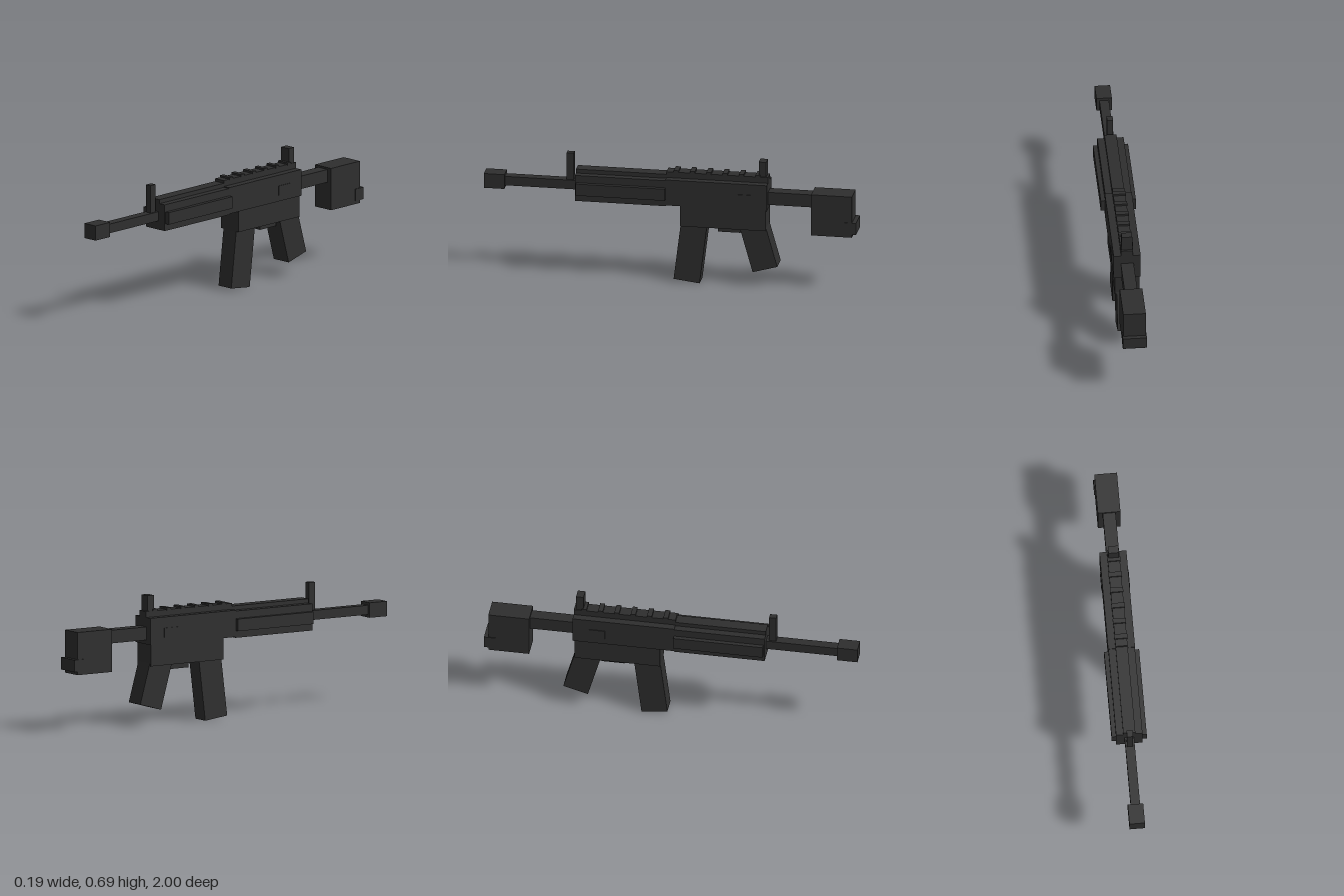
import * as THREE from 'three';

export function createModel() {
  const model = new THREE.Group();
  const charcoal = new THREE.MeshStandardMaterial({ color: 0x2e2e2e });
  charcoal.name = 'charcoal';

  // Box centred on x, given its half width and its y and z ranges
  function block(name, halfWidth, y0, y1, z0, z1) {
    const mesh = new THREE.Mesh(new THREE.BoxGeometry(halfWidth * 2, y1 - y0, z1 - z0), charcoal);
    mesh.position.set(0, (y0 + y1) / 2, (z0 + z1) / 2);
    mesh.name = name;
    model.add(mesh);
    return mesh;
  }

  // Tilted box, given its centre, size and lean
  function leaning(name, halfWidth, height, depth, y, z, lean) {
    const mesh = block(name, halfWidth, y - height / 2, y + height / 2, z - depth / 2, z + depth / 2);
    mesh.rotation.x = lean;
  }

  // Barrel and muzzle
  block('muzzle', 0.041, 0.465, 0.545, 0.89, 1);
  block('barrel', 0.025, 0.48, 0.53, 0.5, 0.9);
  block('frontSight', 0.016, 0.52, 0.68, 0.522, 0.56);

  // Handguard with side panels and top rib
  block('handguard', 0.07, 0.432, 0.575, 0.02, 0.507);
  block('handguardSidePanels', 0.093, 0.47, 0.535, 0.02, 0.5);
  block('handguardRib', 0.032, 0.57, 0.597, 0.02, 0.507);

  // Body
  block('receiver', 0.0715, 0.437, 0.58, -0.523, 0.022);
  block('receiverSidePlates', 0.0755, 0.47, 0.522, -0.435, -0.35);
  block('lowerReceiver', 0.065, 0.322, 0.44, -0.515, -0.055);
  block('triggerGuard', 0.03, 0.292, 0.33, -0.375, -0.253);

  // Top rail with evenly spaced teeth
  block('rail', 0.032, 0.575, 0.612, -0.523, 0.022);
  for (let i = 0; i < 6; i++) {
    const z = -0.03 - i * 0.0875;
    block('railTooth', 0.035, 0.608, 0.622, z - 0.013, z + 0.013);
  }
  block('rearSight', 0.028, 0.6, 0.695, -0.512, -0.472);

  // Magazine and grip
  leaning('magazine', 0.047, 0.36, 0.14, 0.188, -0.11, -0.122);
  leaning('grip', 0.055, 0.3, 0.137, 0.247, -0.469, 0.275);

  // Stock
  block('stockTube', 0.034, 0.46, 0.53, -0.77, -0.515);
  block('stock', 0.06, 0.312, 0.54, -0.977, -0.758);
  block('buttPad', 0.064, 0.33, 0.395, -1, -0.938);

  return model;
}
